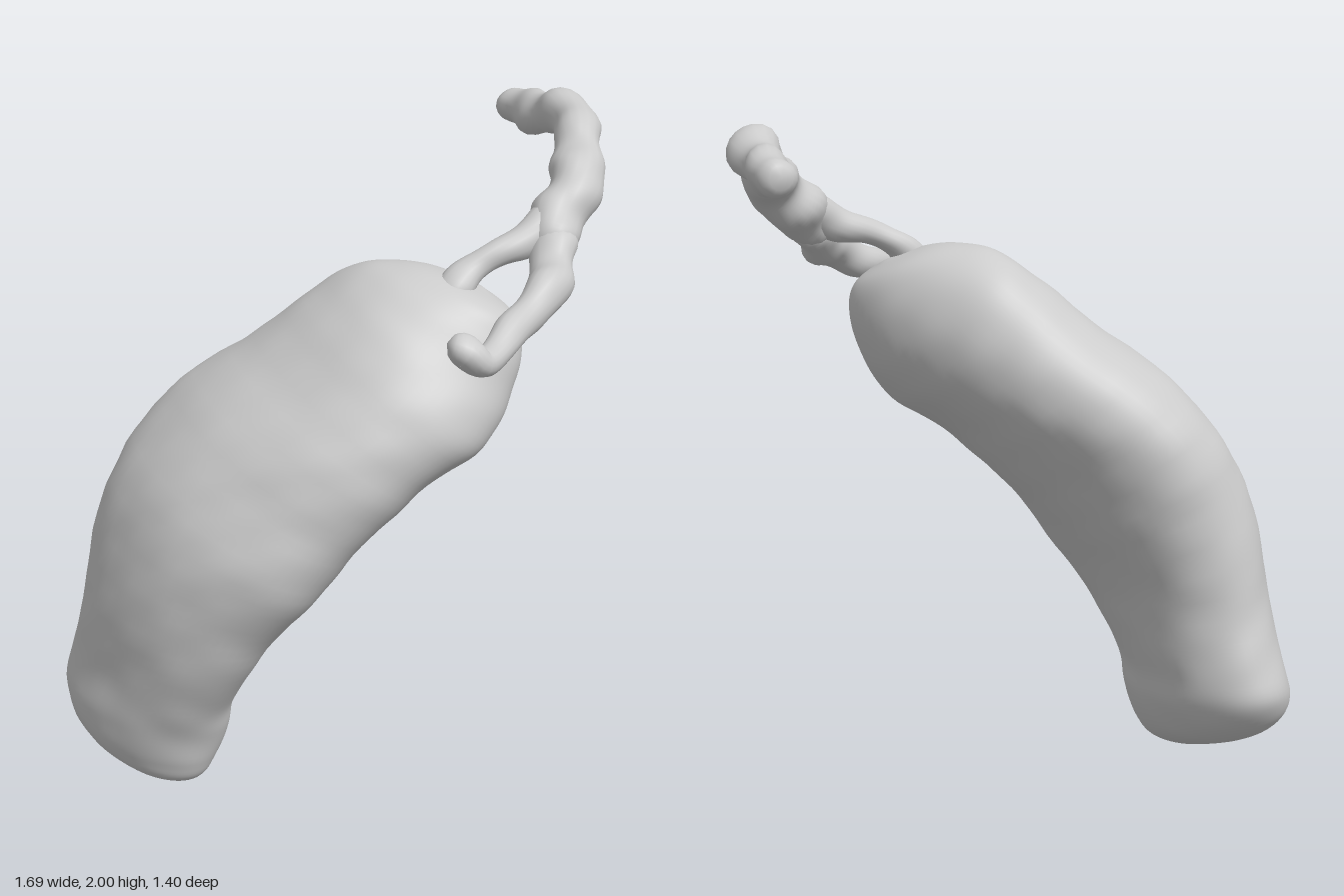
import * as THREE from 'three';
import { mergeVertices } from 'three/addons/utils/BufferGeometryUtils.js';

const material = new THREE.MeshStandardMaterial({ color: 0xcccccc, roughness: 0.8 });
const V = (p) => new THREE.Vector3(...p);
const spline = (pts) => new THREE.CatmullRomCurve3(pts, false, 'catmullrom', 0.5);

// smooth organic unevenness, -1..1
const lumps = (x, y, z, f) =>
  (Math.sin(f * x + 1.3 * f * y) + Math.sin(f * 1.4 * y - f * z + 1) + Math.sin(f * 1.2 * z + f * 0.8 * x + 2)) / 3;

function named(name, geometry) {
  const mesh = new THREE.Mesh(geometry, material);
  mesh.name = name;
  return mesh;
}

// Curved sac: each station is [outer x, outer y, inner x, inner y, back z, front z]
function sacGeometry() {
  const stations = [
    [-0.58, 0.01, -0.58, 0.01, 0.13, 0.13],
    [-0.73, 0.07, -0.47, 0.03, -0.04, 0.26],
    [-0.82, 0.14, -0.41, 0.10, -0.20, 0.30],
    [-0.85, 0.24, -0.37, 0.21, -0.29, 0.33],
    [-0.82, 0.36, -0.355, 0.32, -0.30, 0.38],
    [-0.78, 0.60, -0.26, 0.50, -0.26, 0.47],
    [-0.70, 0.92, -0.13, 0.68, -0.27, 0.55],
    [-0.52, 1.18, 0.02, 0.86, -0.27, 0.57],
    [-0.28, 1.36, 0.18, 1.01, -0.22, 0.58],
    [-0.08, 1.52, 0.34, 1.11, -0.13, 0.55],
    [0.03, 1.60, 0.44, 1.23, -0.06, 0.48],
    [0.13, 1.62, 0.485, 1.37, 0.02, 0.42],
    [0.24, 1.61, 0.47, 1.48, 0.10, 0.36],
    [0.38, 1.56, 0.38, 1.56, 0.23, 0.23],
  ];
  const outer = spline(stations.map((s) => V([s[0], s[1], s[4]])));
  const inner = spline(stations.map((s) => V([s[2], s[3], s[5]])));
  const rows = 90, sides = 56, skew = 0.35;
  const pos = [], index = [];
  for (let i = 0; i <= rows; i++) {
    const a = outer.getPoint(i / rows), b = inner.getPoint(i / rows);
    const mid = a.clone().add(b).multiplyScalar(0.5), half = b.sub(a).multiplyScalar(0.5);
    for (let j = 0; j < sides; j++) {
      const t = (j / sides) * Math.PI * 2;
      const c = Math.cos(t), s = Math.sin(t + skew);
      const x = mid.x + half.x * c, y = mid.y + half.y * c, z = mid.z + half.z * s;
      const k = 1 + 0.022 * lumps(x, y, z, 11) + 0.008 * lumps(x, y, z, 29);
      pos.push(mid.x + half.x * c * k, mid.y + half.y * c * k, mid.z + half.z * s * k);
      if (i === rows) continue;
      const p = i * sides + j, q = i * sides + ((j + 1) % sides);
      index.push(p, p + sides, q, q, p + sides, q + sides);
    }
  }
  let g = new THREE.BufferGeometry();
  g.setAttribute('position', new THREE.Float32BufferAttribute(pos, 3));
  g.setIndex(index);
  g = mergeVertices(g, 1e-5);
  g.computeVertexNormals();
  return g;
}

// Lumpy round-ended duct: each point is [x, y, z, radius]
function ductGeometry(points) {
  const curve = spline(points.map((p) => V(p.slice(0, 3))));
  const radii = spline(points.map((p) => V([p[3], 0, 0])));
  const length = curve.getLength(), rows = Math.ceil(length / 0.012), sides = 18;
  let g = new THREE.TubeGeometry(curve, rows, 1, sides);
  const pos = g.attributes.position, nor = g.attributes.normal;
  for (let i = 0; i <= rows; i++) {
    const u = i / rows, c = curve.getPointAt(u);
    let r = radii.getPoint(curve.getUtoTmapping(u)).x;
    const end = Math.min(1, (Math.min(u, 1 - u) * length) / r);
    r *= Math.sqrt(1 - (1 - end) ** 2);
    for (let j = 0; j <= sides; j++) {
      const k = i * (sides + 1) + j, n = new THREE.Vector3().fromBufferAttribute(nor, k);
      const q = n.clone().multiplyScalar(0.06).add(c);
      const v = n.multiplyScalar(r * (1 + 0.2 * lumps(q.x, q.y, q.z, 27))).add(c);
      pos.setXYZ(k, v.x, v.y, v.z);
    }
  }
  g.deleteAttribute('uv');
  g.deleteAttribute('normal');
  g = mergeVertices(g, 1e-5);
  g.computeVertexNormals();
  return g;
}

export function createModel() {
  const group = new THREE.Group();
  group.name = 'gallbladder';
  group.add(named('sac', sacGeometry()));

  // upper duct, sweeping backwards from the fork
  group.add(named('upperDuct', ductGeometry([
    [0.69, 1.89, -0.70, 0.045], [0.72, 1.885, -0.60, 0.06], [0.735, 1.90, -0.45, 0.065],
    [0.77, 1.93, -0.28, 0.072], [0.755, 1.90, -0.10, 0.068], [0.71, 1.81, 0.04, 0.082],
    [0.63, 1.72, 0.14, 0.08], [0.57, 1.65, 0.24, 0.06],
  ])));
  // short neck duct joining the sac
  group.add(named('neckDuct', ductGeometry([
    [0.66, 1.74, 0.12, 0.06], [0.54, 1.69, 0.175, 0.055], [0.43, 1.65, 0.215, 0.042],
    [0.34, 1.61, 0.24, 0.042], [0.28, 1.55, 0.26, 0.055], [0.25, 1.49, 0.27, 0.05],
  ])));
  // lower duct, hooking forwards
  group.add(named('lowerDuct', ductGeometry([
    [0.62, 1.70, 0.16, 0.065], [0.58, 1.62, 0.27, 0.065], [0.53, 1.58, 0.38, 0.06],
    [0.43, 1.53, 0.48, 0.05], [0.35, 1.49, 0.57, 0.046], [0.28, 1.47, 0.64, 0.044],
    [0.235, 1.51, 0.645, 0.048], [0.18, 1.53, 0.63, 0.036],
  ])));
  return group;
}
